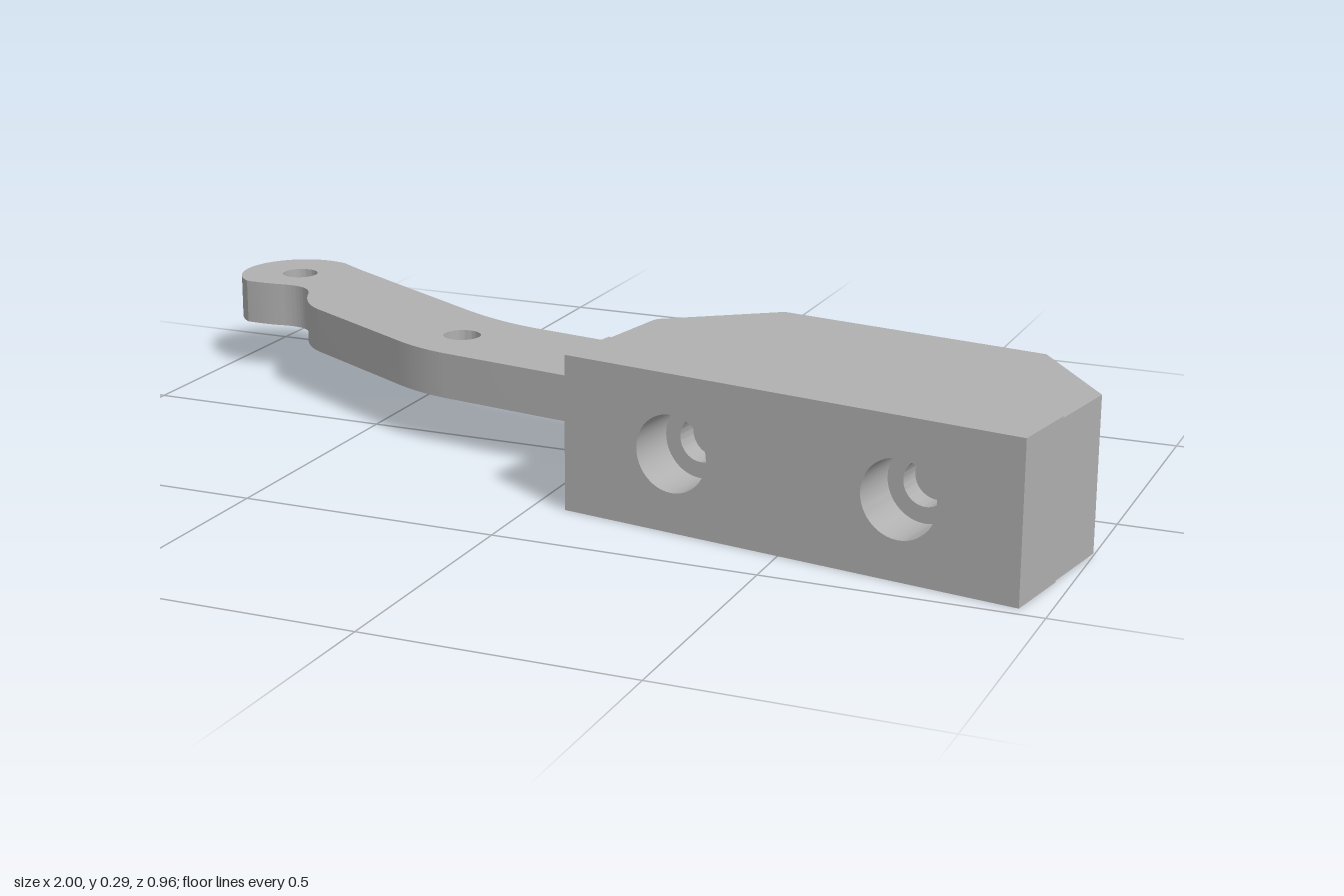
import * as THREE from 'three';
import { toCreasedNormals } from 'three/addons/utils/BufferGeometryUtils.js';

const MID = 0.1465; // height of the centre plane
const steel = new THREE.MeshStandardMaterial({ color: 0xb0b0b0 });
steel.name = 'plain grey steel';

function mesh(name, geometry) {
  const m = new THREE.Mesh(toCreasedNormals(geometry, 0.5), steel);
  m.name = name;
  return m;
}

// Extrude a shape along z, from z0 to z0 + depth
function slab(shape, depth, z0 = 0) {
  const g = new THREE.ExtrudeGeometry(shape, { depth, bevelEnabled: false, curveSegments: 24 });
  return g.translate(0, 0, z0);
}

// Extrude a plan shape (x, -z) upwards from y0 to y1
function plan(shape, y0, y1) {
  return slab(shape, y1 - y0).rotateX(-Math.PI / 2).translate(0, y0, 0);
}

function polygon(points) {
  return new THREE.Shape(points.map(([x, y]) => new THREE.Vector2(x, y)));
}

function addHole(shape, x, y, r) {
  const hole = new THREE.Path();
  hole.absarc(x, y, r, 0, Math.PI * 2, true);
  shape.holes.push(hole);
}

// Curved lever arm with a round eye at its end
function arm() {
  const s = new THREE.Shape();
  const rad = THREE.MathUtils.degToRad;
  s.moveTo(0.04, 0.11);
  s.lineTo(-0.22, 0.155);
  s.quadraticCurveTo(-0.32, 0.175, -0.42, 0.235);
  s.lineTo(-0.77, 0.438);
  s.absarc(-0.875, 0.36, 0.125, rad(68), rad(235), false);
  s.quadraticCurveTo(-0.91, 0.253, -0.87, 0.258);
  s.bezierCurveTo(-0.81, 0.27, -0.785, 0.245, -0.77, 0.21);
  s.quadraticCurveTo(-0.74, 0.14, -0.69, 0.11);
  s.lineTo(-0.43, -0.035);
  s.quadraticCurveTo(-0.37, -0.07, -0.3, -0.083);
  s.lineTo(0.0, -0.133);
  addHole(s, -0.875, 0.36, 0.037);
  addHole(s, -0.33, 0.05, 0.037);
  return mesh('leverArm', plan(s, MID - 0.045, MID + 0.045));
}

// Flared knuckle, lofted through rectangles: [x, depth limit, half height]
function knuckle() {
  const near = 0.18;
  const sections = [
    [-0.097, 0.425, 0.045], [-0.085, 0.452, 0.06], [-0.068, 0.471, 0.076],
    [-0.045, 0.482, 0.087], [-0.016, 0.485, 0.09],
  ];
  const pos = [], index = [];
  for (const [x, far, h] of sections) {
    for (const [v, y] of [[near, -h], [far, -h], [far, h], [near, h]]) pos.push(x, MID + y, -v);
  }
  const last = (sections.length - 1) * 4;
  for (let i = 0; i < last; i += 4) {
    for (let j = 0; j < 4; j++) {
      const a = i + j, b = i + (j + 1) % 4;
      index.push(a, b, a + 4, b, b + 4, a + 4);
    }
  }
  index.push(0, 2, 1, 0, 3, 2, last, last + 1, last + 2, last, last + 2, last + 3);
  const g = new THREE.BufferGeometry();
  g.setAttribute('position', new THREE.Float32BufferAttribute(pos, 3));
  g.setIndex(index);
  return mesh('knuckle', g);
}

// Front half of the block: one layer with a pair of bores
function boredLayer(name, radius, from, to) {
  const s = polygon([[0, 0], [0.898, 0], [0.898, 0.293], [0, 0.293]]);
  for (const x of [0.225, 0.672]) addHole(s, x, MID, radius);
  return mesh(name, slab(s, to - from, -to));
}

export function createModel() {
  const model = new THREE.Group();
  model.name = 'clampLever';
  model.add(arm());

  // Block frame: x along the front face, -z into the block
  const block = new THREE.Group();
  block.name = 'block';
  block.position.set(0.063, 0, 0.325);
  block.rotation.y = -0.168;
  model.add(block);

  const seam = 0.145;
  block.add(boredLayer('counterboredFront', 0.072, 0, 0.1));
  block.add(boredLayer('boltHoleLayer', 0.042, 0.1, seam));

  // Rear half: two chamfered cheeks
  const cheek = polygon([
    [0, seam], [0.898, seam], [0.898, 0.304], [0.714, 0.485],
    [0.177, 0.485], [0.003, 0.31], [0, 0.297],
  ]);
  block.add(mesh('lowerCheek', plan(cheek, 0.003, MID - 0.09)));
  block.add(mesh('upperCheek', plan(cheek, MID + 0.09, 0.29)));

  // Core between the cheeks: slotted at the chamfer, running into the knuckle
  const core = polygon([
    [0, seam], [0.898, seam], [0.898, 0.304], [0.877, 0.283], [0.672, 0.485],
    [-0.016, 0.485], [-0.016, 0.297], [0, 0.297],
  ]);
  block.add(mesh('core', plan(core, MID - 0.09, MID + 0.09)));
  block.add(knuckle());

  return model;
}
